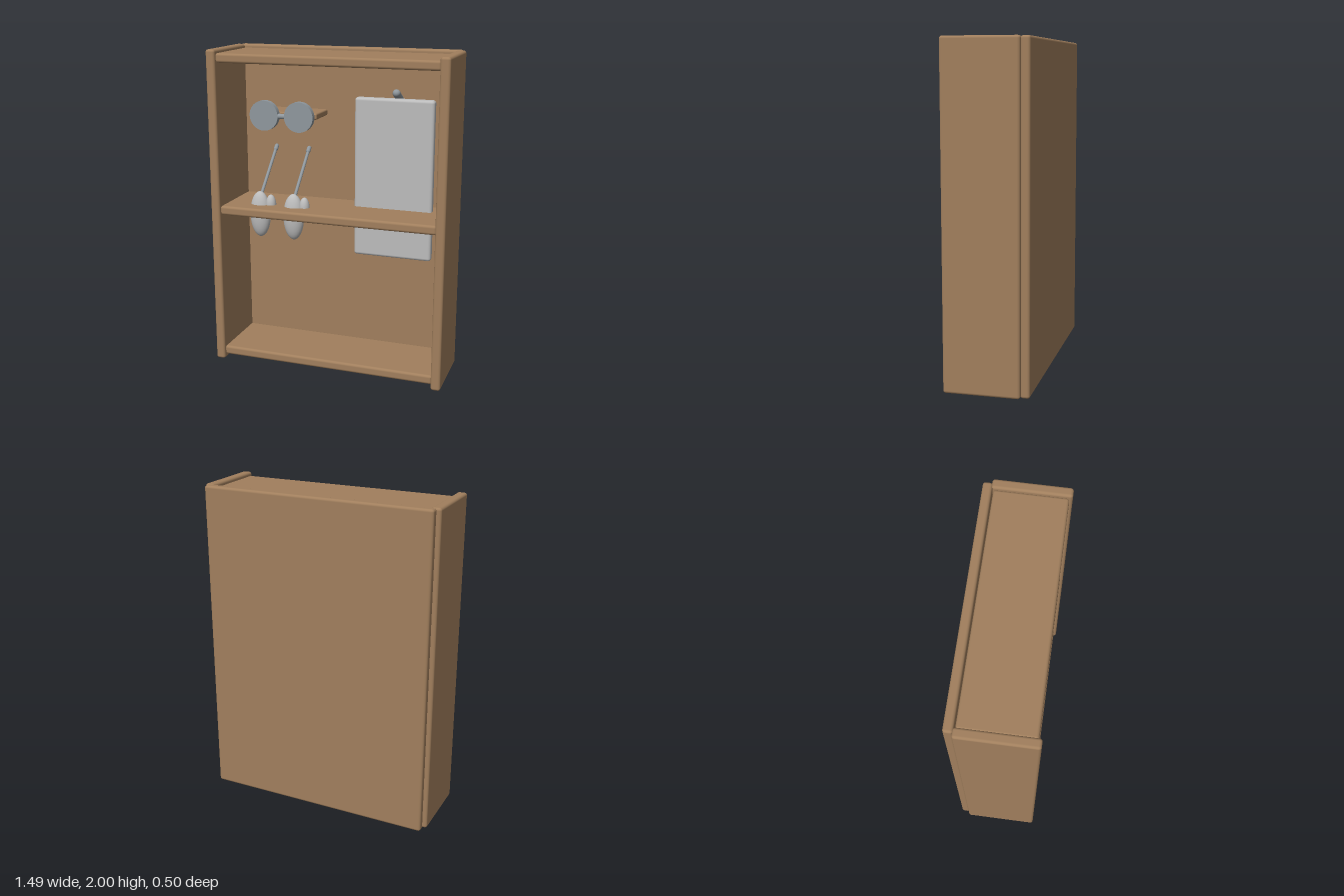
import * as THREE from 'three';
import { RoundedBoxGeometry } from 'three/addons/geometries/RoundedBoxGeometry.js';

const material = (name, color) => {
  const m = new THREE.MeshStandardMaterial({ color });
  m.name = name;
  return m;
};

export function createModel() {
  const wood = material('wood', 0xa17f5d);
  const paleGrey = material('pale grey', 0xbcbcbc);
  const steel = material('steel grey', 0x8f979d);
  const model = new THREE.Group();
  model.name = 'wallCabinet';

  const add = (name, geometry, mat, x = 0, y = 0, z = 0, parent = model) => {
    const mesh = new THREE.Mesh(geometry, mat);
    mesh.name = name;
    mesh.position.set(x, y, z);
    parent.add(mesh);
    return mesh;
  };

  // Soft-edged board given by its extents on each axis
  const board = (name, mat, [x0, x1], [y0, y1], [z0, z1], r = 0.016, parent = model) =>
    add(name, new RoundedBoxGeometry(x1 - x0, y1 - y0, z1 - z0, 2, r), mat,
      (x0 + x1) / 2, (y0 + y1) / 2, (z0 + z1) / 2, parent);

  // Round-ended rod between two points
  const rod = (name, a, b, radius, parent = model) => {
    const from = new THREE.Vector3(...a), to = new THREE.Vector3(...b);
    const dir = to.clone().sub(from);
    const mid = from.add(to).multiplyScalar(0.5);
    const mesh = add(name, new THREE.CapsuleGeometry(radius, dir.length(), 6, 16), steel,
      mid.x, mid.y, mid.z, parent);
    mesh.quaternion.setFromUnitVectors(new THREE.Vector3(0, 1, 0), dir.normalize());
    return mesh;
  };

  const ellipsoid = (name, rx, ry, rz, x, y, z, parent) => {
    const geometry = new THREE.SphereGeometry(1, 28, 20).scale(rx, ry, rz);
    return add(name, geometry, paleGrey, x, y, z, parent);
  };

  // Cabinet carcass
  board('backPanel', wood, [-0.72, 0.72], [0, 2], [-0.25, -0.195]);
  board('leftSide', wood, [0.685, 0.745], [0.002, 2], [-0.2, 0.25]);
  board('rightSide', wood, [-0.745, -0.685], [0.002, 2], [-0.2, 0.25]);
  [['bottomShelf', 0.03], ['middleShelf', 0.975], ['topShelf', 1.92]].forEach(([name, y]) =>
    board(name, wood, [-0.69, 0.69], [y, y + 0.058], [-0.19, 0.232]));

  // Small bracket board on a peg, with two discs joined by a bridge
  const bracket = new THREE.Group();
  bracket.name = 'discBracket';
  model.add(bracket);
  board('bracketBoard', wood, [-0.515, -0.088], [1.588, 1.626], [-0.09, 0.11], 0.01, bracket);
  rod('bracketPeg', [-0.302, 1.605, -0.2], [-0.302, 1.605, -0.08], 0.023, bracket);
  rod('bridge', [-0.35, 1.603, 0.135], [-0.255, 1.603, 0.135], 0.016, bracket);
  for (const x of [-0.415, -0.19]) {
    const disc = add('disc', new THREE.CylinderGeometry(0.092, 0.092, 0.035, 40), steel,
      x, 1.604, 0.135, bracket);
    disc.rotation.x = Math.PI / 2;
  }

  // Hanging tools: slanted handle, large bulb and small bulb
  for (const x of [-0.475, -0.25]) {
    const tool = new THREE.Group();
    tool.name = 'hangingTool';
    model.add(tool);
    rod('handle', [x, 1.35, -0.185], [x, 1.07, 0.095], 0.01, tool);
    rod('handleTip', [x, 1.352, -0.187], [x, 1.335, -0.17], 0.014, tool);
    ellipsoid('largeBulb', 0.067, 0.147, 0.05, x, 0.967, 0.095, tool);
    ellipsoid('smallBulb', 0.033, 0.068, 0.033, x + 0.071, 1.028, 0.09, tool);
  }

  // Hanging slab and its wall peg
  board('hangingSlab', paleGrey, [0.102, 0.597], [0.718, 1.714], [-0.1, -0.04], 0.018);
  rod('slabPeg', [0.348, 1.69, -0.19], [0.348, 1.742, -0.1], 0.024);

  return model;
}
